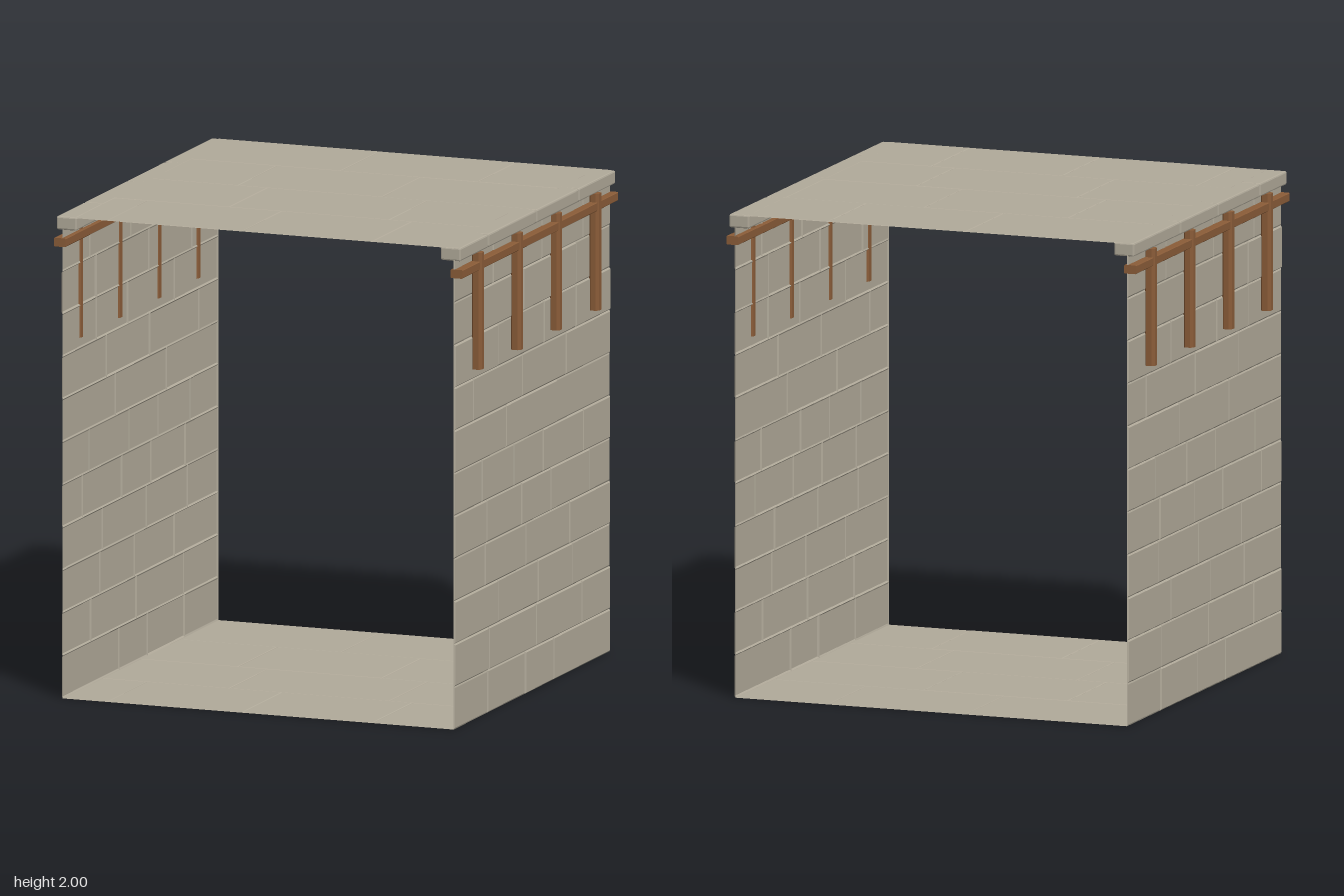
import * as THREE from 'three';
import { RoundedBoxGeometry } from 'three/addons/geometries/RoundedBoxGeometry.js';

const HALF = 0.856; // half size of the cube-like shell

const stone = new THREE.MeshStandardMaterial({ color: 0xb0a999, flatShading: true, side: THREE.DoubleSide });
const wood = new THREE.MeshStandardMaterial({ color: 0x8a5c38, flatShading: true });

function seeded(seed) {
  return () => (seed = (seed * 16807) % 2147483647) / 2147483647;
}

// Thin masonry sheet facing +z: each block is a slightly raised, chamfered panel
function masonry(rowEdges, joints, relief, chamfer, seed) {
  const rand = seeded(seed);
  const pos = [];
  const quad = (a, b, c, d) => pos.push(...a, ...b, ...c, ...a, ...c, ...d);
  joints.forEach((row, r) => {
    const us = [-HALF, ...row, HALF];
    const v0 = rowEdges[r], v1 = rowEdges[r + 1];
    for (let i = 0; i < us.length - 1; i++) {
      const u0 = us[i], u1 = us[i + 1];
      const h = relief * (0.35 + 0.65 * rand());
      const c = chamfer;
      const outer = [[u0, v0, 0], [u1, v0, 0], [u1, v1, 0], [u0, v1, 0]];
      const inner = [[u0 + c, v0 + c, h], [u1 - c, v0 + c, h], [u1 - c, v1 - c, h], [u0 + c, v1 - c, h]];
      quad(...inner);
      for (let k = 0; k < 4; k++) {
        const n = (k + 1) % 4;
        quad(outer[k], outer[n], inner[n], inner[k]);
      }
    }
  });
  const geo = new THREE.BufferGeometry();
  geo.setAttribute('position', new THREE.Float32BufferAttribute(pos, 3));
  geo.computeVertexNormals();
  return geo;
}

// Rectangular bar with chamfered long edges, running along +z
function chamferedBar(w, h, length, c) {
  const x = w / 2, y = h / 2;
  const pts = [[x - c, -y], [x, -y + c], [x, y - c], [x - c, y], [-x + c, y], [-x, y - c], [-x, -y + c], [-x + c, -y]];
  const shape = new THREE.Shape(pts.map(([a, b]) => new THREE.Vector2(a, b)));
  return new THREE.ExtrudeGeometry(shape, { depth: length, bevelEnabled: false }).translate(0, 0, -length / 2);
}

export function createModel() {
  const model = new THREE.Group();
  const add = (parent, name, geo, mat, x = 0, y = 0, z = 0) => {
    const mesh = new THREE.Mesh(geo, mat);
    mesh.name = name;
    mesh.position.set(x, y, z);
    parent.add(mesh);
    return mesh;
  };

  // Side walls: eleven courses with staggered joints
  const courses = Array.from({ length: 12 }, (_, i) => (i * 1.95) / 11);
  const wallJoints = [
    [-0.49, -0.08, 0.23], [-0.48, 0.04, 0.54], [-0.38, 0.06, 0.44], [-0.52, -0.07, 0.41],
    [-0.5, -0.12, 0.2, 0.63], [-0.55, -0.2, 0.12, 0.56], [-0.29, 0.27], [-0.65, -0.11, 0.37],
    [-0.38, 0.13, 0.48], [-0.57, -0.1, 0.48], [-0.43, 0.1, 0.55],
  ];

  // Coping stone joints along z for each side
  const copingJoints = { 1: [-0.45, 0.015, 0.545], '-1': [-0.335, 0.085, 0.55] };

  for (const side of [1, -1]) {
    const group = new THREE.Group();
    group.name = side > 0 ? 'leftSide' : 'rightSide';
    model.add(group);

    const wall = add(group, 'wall', masonry(courses, wallJoints, 0.007, 0.006, side > 0 ? 41 : 97), stone, side * HALF);
    wall.rotation.y = (side * Math.PI) / 2;

    // Row of coping stones along the top edge
    const zs = [-HALF, ...copingJoints[side], HALF];
    for (let i = 0; i < zs.length - 1; i++) {
      const geo = new RoundedBoxGeometry(0.088, 0.056, zs[i + 1] - zs[i] - 0.006, 1, 0.007);
      add(group, 'copingStone', geo, stone, side * 0.841, 1.972, (zs[i] + zs[i + 1]) / 2);
    }

    // Long rail and the four battens hanging behind it
    add(group, 'rail', chamferedBar(0.052, 0.036, 2 * HALF, 0.003), wood, side * 0.869, 1.892);
    for (const z of [-0.645, -0.215, 0.215, 0.645]) {
      const geo = chamferedBar(0.045, 0.046, 0.485, 0.011).rotateX(Math.PI / 2);
      add(group, 'batten', geo, wood, side * 0.8775, 1.7025, z);
    }
  }

  // Roof and floor: four rows of barely raised slabs
  const slabRows = [-HALF, -0.42, 0, 0.43, HALF];
  const slabJoints = [[-0.66, -0.07, 0.5], [-0.3, 0.4], [-0.43, 0.2], [-0.15, 0.45]];
  const roof = add(model, 'roof', masonry(slabRows, slabJoints, 0.002, 0.004, 13), stone, 0, 1.998);
  roof.rotation.x = -Math.PI / 2;
  const floor = add(model, 'floor', masonry(slabRows, slabJoints, 0.002, 0.004, 29), stone);
  floor.rotation.x = -Math.PI / 2;

  return model;
}
